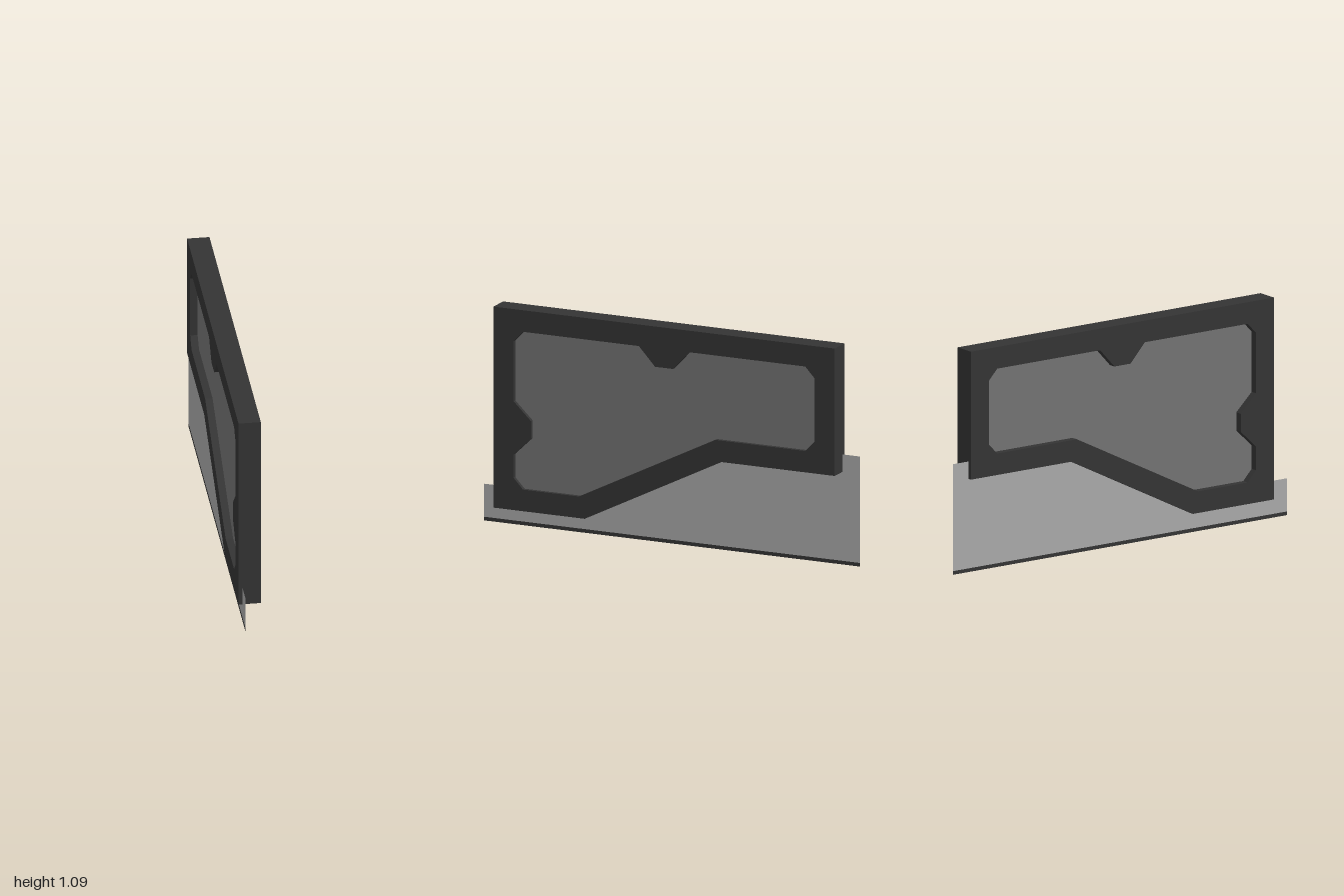
import * as THREE from 'three';

const frameMat = new THREE.MeshStandardMaterial({ color: 0x343434 });
frameMat.name = 'charcoal frame';
const panelMat = new THREE.MeshStandardMaterial({ color: 0x737373 });
panelMat.name = 'mid grey panel';
const skirtMat = new THREE.MeshStandardMaterial({ color: 0xa9a9a9, side: THREE.DoubleSide });
skirtMat.name = 'light grey skirt';
const stripMat = new THREE.MeshStandardMaterial({ color: 0x343434, side: THREE.DoubleSide });
stripMat.name = 'charcoal strip';

// Profiles are given as [z, y]; the shape plane is turned so depth runs along x
const points = (list) => list.map(([z, y]) => new THREE.Vector2(-z, y));

function addPart(group, name, geometry, material) {
  geometry.rotateY(Math.PI / 2);
  const mesh = new THREE.Mesh(geometry, material);
  mesh.name = name;
  group.add(mesh);
}

// Solid plate between two x positions
function plate(shape, x0, x1) {
  const g = new THREE.ExtrudeGeometry(shape, { depth: x1 - x0, bevelEnabled: false });
  return g.translate(0, 0, x0);
}

// Single sheet at one x position
const sheet = (shape, x) => new THREE.ShapeGeometry(shape).translate(0, 0, x);

export function createModel() {
  const group = new THREE.Group();
  group.name = 'stairSidePanel';

  const outer = [
    [0.907, 1.092], [0.907, 0.095], [0.422, 0.095],
    [-0.305, 0.46], [-0.907, 0.46], [-0.907, 1.092],
  ];
  // Opening with chamfered corners and a tab on the top and front edges
  const inner = [
    [0.75, 0.985], [0.134, 0.985], [0.048, 0.892], [-0.048, 0.892], [-0.134, 0.985],
    [-0.75, 0.985], [-0.8, 0.932], [-0.8, 0.618], [-0.75, 0.566], [-0.273, 0.566],
    [0.452, 0.202], [0.75, 0.202], [0.8, 0.255], [0.8, 0.37], [0.708, 0.458],
    [0.708, 0.547], [0.8, 0.635], [0.8, 0.932],
  ];

  // Thick frame
  const frame = new THREE.Shape(points(outer));
  frame.holes.push(new THREE.Path(points(inner)));
  addPart(group, 'frame', plate(frame, -0.054, 0.054), frameMat);

  // Panel recessed in the frame, deeper on one side
  addPart(group, 'panel', plate(new THREE.Shape(points(inner)), -0.018, 0.035), panelMat);

  // Thin skirt below, its upper edge tucked inside the frame
  const skirt = new THREE.Shape(points([
    [1, 0.018], [1, 0.182], [0.445, 0.182], [-0.28, 0.546], [-1, 0.546], [-1, 0.018],
  ]));
  addPart(group, 'skirt', sheet(skirt, -0.034), skirtMat);

  // Dark strip along the floor
  const strip = new THREE.Shape(points([[1, 0], [1, 0.018], [-1, 0.018], [-1, 0]]));
  addPart(group, 'floorStrip', sheet(strip, -0.034), stripMat);

  return group;
}
